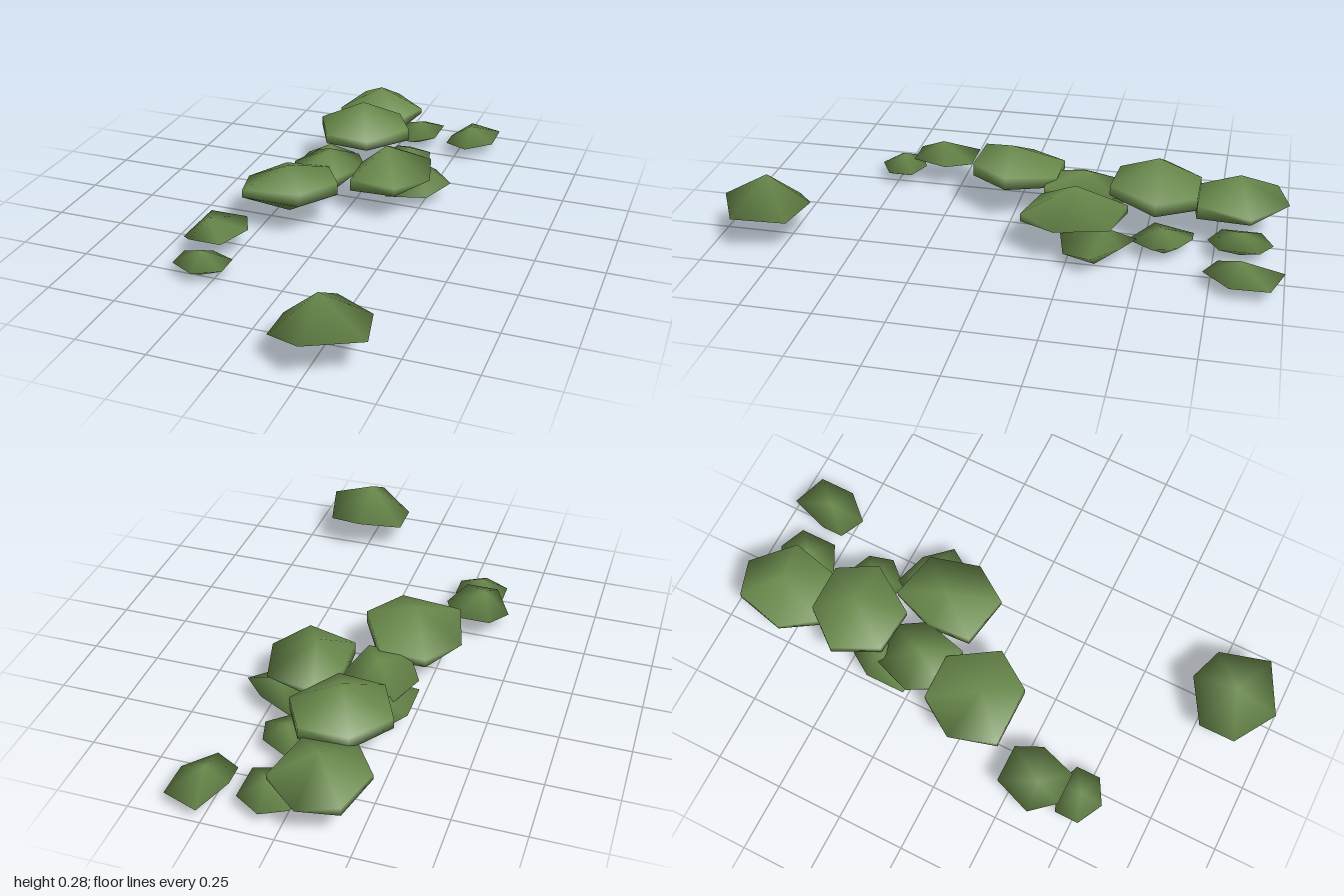
import * as THREE from 'three';

const leafGreen = new THREE.MeshStandardMaterial({ color: 0x6a8a4c });
leafGreen.name = 'leaf green';

// Faceted clump: a peak, a rim of [x, z, yLow, yHigh = yLow] and a lower point.
// The rim runs left, back, right, front; smooth shared normals.
function clump(name, peak, base, rim) {
  const n = rim.length;
  const pos = [...peak, ...base];
  const index = [];
  const high = [], low = [];
  for (const [x, z, yLow, yHigh = yLow] of rim) {
    low.push(pos.length / 3);
    pos.push(x, yLow, z);
    if (yHigh > yLow) {
      high.push(pos.length / 3);
      pos.push(x, yHigh, z);
    } else high.push(low[low.length - 1]);
  }
  for (let i = 0; i < n; i++) {
    const j = (i + 1) % n;
    index.push(0, high[j], high[i], 1, low[i], low[j]);
    // side wall where the rim has thickness
    if (high[j] !== low[j]) index.push(low[i], high[j], low[j]);
    if (high[i] !== low[i]) index.push(low[i], high[i], high[j]);
  }
  const geo = new THREE.BufferGeometry();
  geo.setAttribute('position', new THREE.Float32BufferAttribute(pos, 3));
  geo.setIndex(index);
  geo.computeVertexNormals();
  const mesh = new THREE.Mesh(geo, leafGreen);
  mesh.name = name;
  return mesh;
}

export function createModel() {
  const group = new THREE.Group();
  group.name = 'foliageClumps';

  // Large upper clumps
  group.add(
    clump('frontClump', [0.255, 0.233, 0.83], [0.25, 0.05, 0.83], [
      [0.115, 0.9, 0.095], [0.115, 0.765, 0.095], [0.26, 0.67, 0.14],
      [0.395, 0.715, 0.12], [0.44, 0.9, 0.14], [0.255, 0.995, 0.14]]),
    clump('middleClump', [-0.165, 0.233, 0.025], [-0.165, 0.05, 0.025], [
      [-0.345, -0.02, 0.14], [-0.25, -0.16, 0.12, 0.15], [-0.08, -0.16, 0.12, 0.16],
      [0.02, 0.015, 0.14, 0.187], [-0.075, 0.155, 0.14, 0.187], [-0.295, 0.155, 0.14, 0.17]]),
    clump('crownClump', [-0.07, 0.28, -0.53], [-0.07, 0.095, -0.53], [
      [-0.25, -0.545, 0.15, 0.187], [-0.14, -0.68, 0.14, 0.187], [0.035, -0.68, 0.14, 0.187],
      [0.115, -0.54, 0.14, 0.187], [0, -0.365, 0.15, 0.187], [-0.17, -0.38, 0.15, 0.187]]),
    clump('sideClump', [0.115, 0.233, -0.26], [0.115, 0.05, -0.26], [
      [0.02, -0.12, 0.095, 0.14], [0.01, -0.28, 0.095, 0.14], [0.065, -0.44, 0.12, 0.15],
      [0.25, -0.4, 0.14], [0.3, -0.215, 0.14], [0.205, -0.08, 0.12, 0.15]]),
    clump('backClump', [-0.09, 0.233, -0.82], [-0.09, 0.05, -0.8], [
      [-0.25, -0.77, 0.12, 0.14], [-0.205, -0.955, 0.12, 0.15], [-0.07, -1, 0.14],
      [0.07, -0.87, 0.12, 0.14], [0.02, -0.68, 0.1, 0.15], [-0.165, -0.65, 0.1, 0.14]]),
    clump('innerClump', [-0.11, 0.187, -0.26], [-0.115, 0.047, -0.26], [
      [-0.25, -0.24, 0.12], [-0.2, -0.38, 0.12], [-0.04, -0.39, 0.12],
      [0.02, -0.29, 0.12], [-0.03, -0.12, 0.1, 0.14], [-0.18, -0.12, 0.1, 0.14]]));

  // Small low clumps
  group.add(
    clump('lowInnerClump', [-0.16, 0.14, -0.4], [-0.18, 0.047, -0.36], [
      [-0.255, -0.25, 0.09], [-0.255, -0.4, 0.09], [-0.2, -0.485, 0.09],
      [-0.08, -0.46, 0.09], [-0.05, -0.33, 0.09], [-0.16, -0.24, 0.09]]),
    clump('lowBackClump', [0.08, 0.095, -0.84], [0.07, 0, -0.84], [
      [-0.02, -0.77, 0.047], [-0.02, -0.91, 0.047], [0.07, -0.955, 0.047],
      [0.16, -0.91, 0.06], [0.16, -0.77, 0.06], [0.07, -0.725, 0.047]]),
    clump('cornerClump', [0.29, 0.1, -0.85], [0.3, 0, -0.86], [
      [0.21, -0.77, 0.047], [0.21, -0.85, 0.047], [0.26, -1, 0.05],
      [0.39, -0.955, 0.05], [0.39, -0.82, 0.047], [0.3, -0.725, 0.05]]),
    clump('lowCrownClump', [0.11, 0.095, -0.57], [0.115, 0, -0.58], [
      [-0.02, -0.53, 0.047], [0.03, -0.675, 0.047], [0.085, -0.675, 0.05],
      [0.18, -0.63, 0.06], [0.205, -0.54, 0.06], [0.125, -0.45, 0.047]]),
    clump('lowSideClump', [0.21, 0.13, -0.38], [0.24, 0, -0.35], [
      [0.07, -0.35, 0.047], [0.14, -0.485, 0.06], [0.26, -0.44, 0.08],
      [0.345, -0.35, 0.075], [0.28, -0.245, 0.05], [0.13, -0.21, 0.047]]),
    clump('leftOuterClump', [-0.345, 0.14, 0.34], [-0.32, 0.05, 0.34], [
      [-0.44, 0.345, 0.05], [-0.395, 0.205, 0.095], [-0.255, 0.205, 0.095],
      [-0.21, 0.3, 0.095], [-0.255, 0.435, 0.095], [-0.375, 0.435, 0.095]]),
    clump('leftSmallClump', [-0.3, 0.095, 0.49], [-0.3, 0, 0.49], [
      [-0.395, 0.525, 0.047], [-0.395, 0.435, 0.047], [-0.3, 0.4, 0.047],
      [-0.21, 0.435, 0.047], [-0.21, 0.525, 0.047], [-0.3, 0.575, 0.047]]));
  return group;
}
